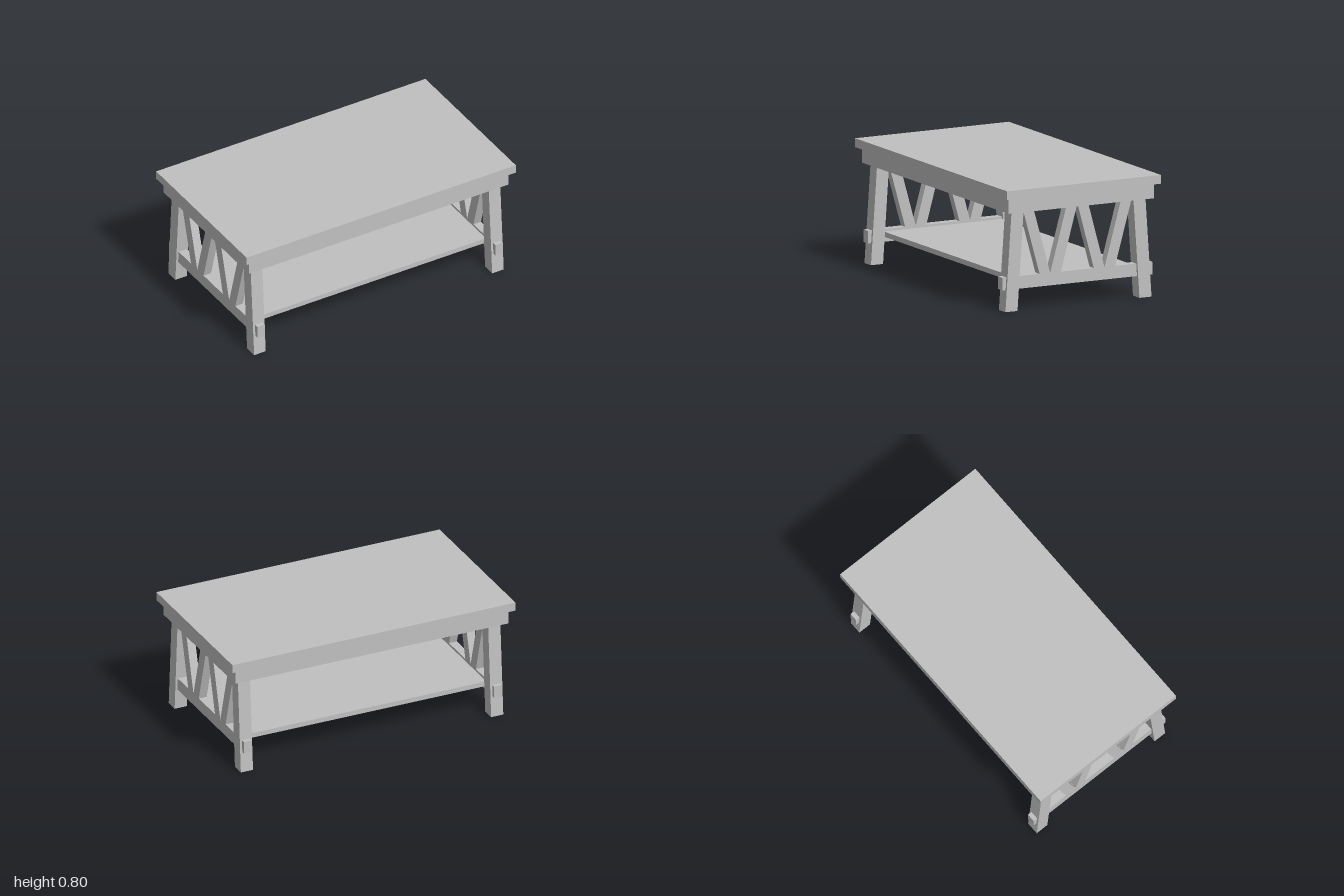
import * as THREE from 'three';

export function createModel() {
  const group = new THREE.Group();
  group.name = 'coffeeTable';
  const grey = new THREE.MeshStandardMaterial({ color: 0xc0c0c0 });
  grey.name = 'plain grey';

  const add = (name, geometry, x = 0, y = 0, z = 0) => {
    const mesh = new THREE.Mesh(geometry, grey);
    mesh.name = name;
    mesh.position.set(x, y, z);
    group.add(mesh);
  };

  // Box whose top face is shifted along z, so its ends stay level
  const leaningBar = (width, depth, yBottom, yTop, zBottom, zTop) => {
    const g = new THREE.BoxGeometry(width, yTop - yBottom, depth);
    const p = g.attributes.position;
    for (let i = 0; i < p.count; i++) {
      const top = p.getY(i) > 0;
      p.setY(i, top ? yTop : yBottom);
      p.setZ(i, p.getZ(i) + (top ? zTop : zBottom));
    }
    g.computeVertexNormals();
    return g;
  };

  // Top and lower shelf
  add('tableTop', new THREE.BoxGeometry(2, 0.057, 1.12), 0, 0.7715, 0);
  add('shelf', new THREE.BoxGeometry(1.72, 0.033, 0.86), 0, 0.19, 0);

  // Hollow apron frame under the top
  for (const end of [-1, 1]) {
    add(end > 0 ? 'frontApron' : 'backApron',
      new THREE.BoxGeometry(1.93, 0.096, 0.04), 0, 0.693, end * 0.51);
    add(end > 0 ? 'leftApron' : 'rightApron',
      new THREE.BoxGeometry(0.038, 0.096, 0.98), end * 0.946, 0.693, 0);
  }

  for (const side of [-1, 1]) {
    const sideName = side > 0 ? 'left' : 'right';
    const x = side * 0.884;

    // Stretcher with ends protruding through the legs
    add(`${sideName}Stretcher`, new THREE.BoxGeometry(0.056, 0.082, 1.092), x, 0.181, 0);

    for (const end of [-1, 1]) {
      const endName = end > 0 ? 'Front' : 'Back';
      add(`${sideName}${endName}Leg`,
        leaningBar(0.086, 0.088, 0, 0.743, end * 0.488, end * 0.437), x);

      // Two braces form a V in each half of the side
      add(`${sideName}${endName}OuterBrace`,
        leaningBar(0.056, 0.077, 0.22, 0.743, end * 0.236, end * 0.384), x);
      add(`${sideName}${endName}InnerBrace`,
        leaningBar(0.056, 0.077, 0.22, 0.743, end * 0.159, end * 0.014), x);
    }
  }
  return group;
}
